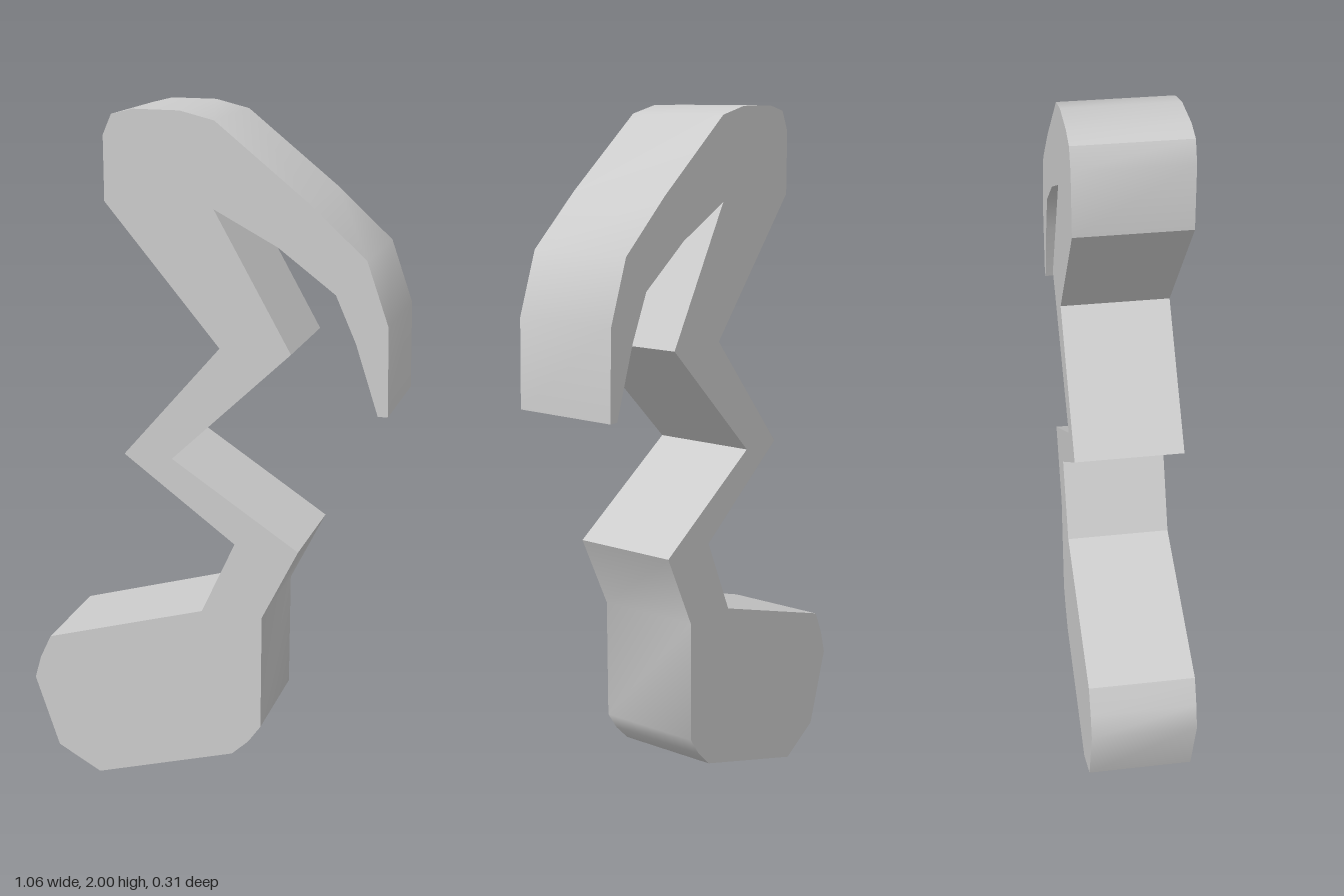
import * as THREE from 'three';
import { toCreasedNormals } from 'three/addons/utils/BufferGeometryUtils.js';

const DEPTH = 0.305;

// Outline sections, listed counter-clockwise from the foot of the note head
const headRight = [[-0.325, 0], [0.1, 0.14], [0.15, 0.19], [0.187, 0.245], [0.187, 0.595]];
const stemRight = [[0.29, 0.81], [-0.08, 1.045], [0.26, 1.375], [0.043, 1.75]];
const flagInner = [[0.22, 1.66], [0.378, 1.545], [0.435, 1.42], [0.5, 1.227]];
const flagOuter = [[0.527, 1.227], [0.52, 1.47], [0.458, 1.64], [0.3, 1.78], [0.045, 1.978]];
const crown = [[-0.05, 2], [-0.18, 2], [-0.24, 1.985], [-0.265, 1.93], [-0.265, 1.755]];
const stemLeft = [[0.06, 1.375], [-0.222, 1.045], [0.105, 0.81], [0.007, 0.59]];
const headLeft = [[-0.475, 0.435], [-0.51, 0.36], [-0.53, 0.29], [-0.458, 0.07]];

export function createModel() {
  const group = new THREE.Group();
  group.name = 'zigzagMusicNote';

  // One solid slab: head, zigzag stem and flag share a continuous outline
  const outline = [headRight, stemRight, flagInner, flagOuter, crown, stemLeft, headLeft].flat();
  const shape = new THREE.Shape(outline.map(([x, y]) => new THREE.Vector2(x, y)));
  const slab = new THREE.ExtrudeGeometry(shape, { depth: DEPTH, bevelEnabled: false });
  slab.translate(0, 0, -DEPTH / 2);

  // Shallow bends shade smoothly, sharp corners stay crisp
  const note = new THREE.Mesh(
    toCreasedNormals(slab, 0.6),
    new THREE.MeshStandardMaterial({ color: 0xcccccc })
  );
  note.name = 'noteBody';
  group.add(note);
  return group;
}
